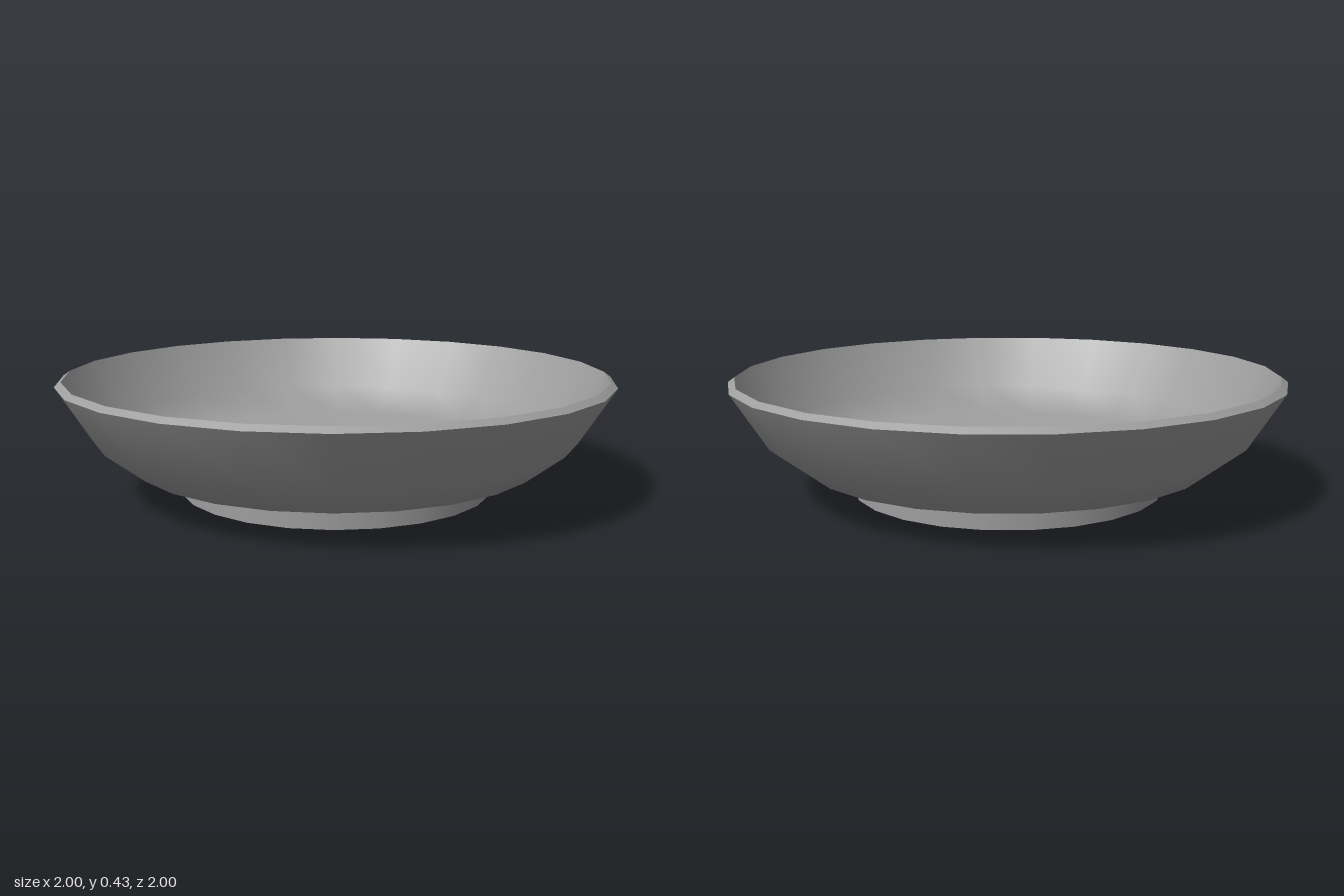
import * as THREE from 'three';

const SIDES = 24;

export function createModel() {
  const group = new THREE.Group();
  const material = new THREE.MeshStandardMaterial({ color: 0x9e9e9e });

  const add = (name, geometry) => {
    const mesh = new THREE.Mesh(geometry, material);
    mesh.name = name;
    group.add(mesh);
    return mesh;
  };
  const lathe = (profile) =>
    new THREE.LatheGeometry(profile.map(([r, y]) => new THREE.Vector2(r, y)), SIDES);

  // Bowl: separate lathes keep the rim edges sharp and the walls smooth
  add('outerWall', lathe([[0.5, 0.068], [0.74, 0.106], [0.875, 0.21], [1, 0.41]]));
  add('rim', lathe([[1, 0.41], [0.977, 0.427]]));
  add('innerWall', lathe([[0.977, 0.427], [0.855, 0.227], [0.725, 0.13], [0, 0.084]]));

  // Low round foot, closed underneath
  add('foot', new THREE.CylinderGeometry(0.57, 0.57, 0.08, SIDES)).position.y = 0.04;

  return group;
}
